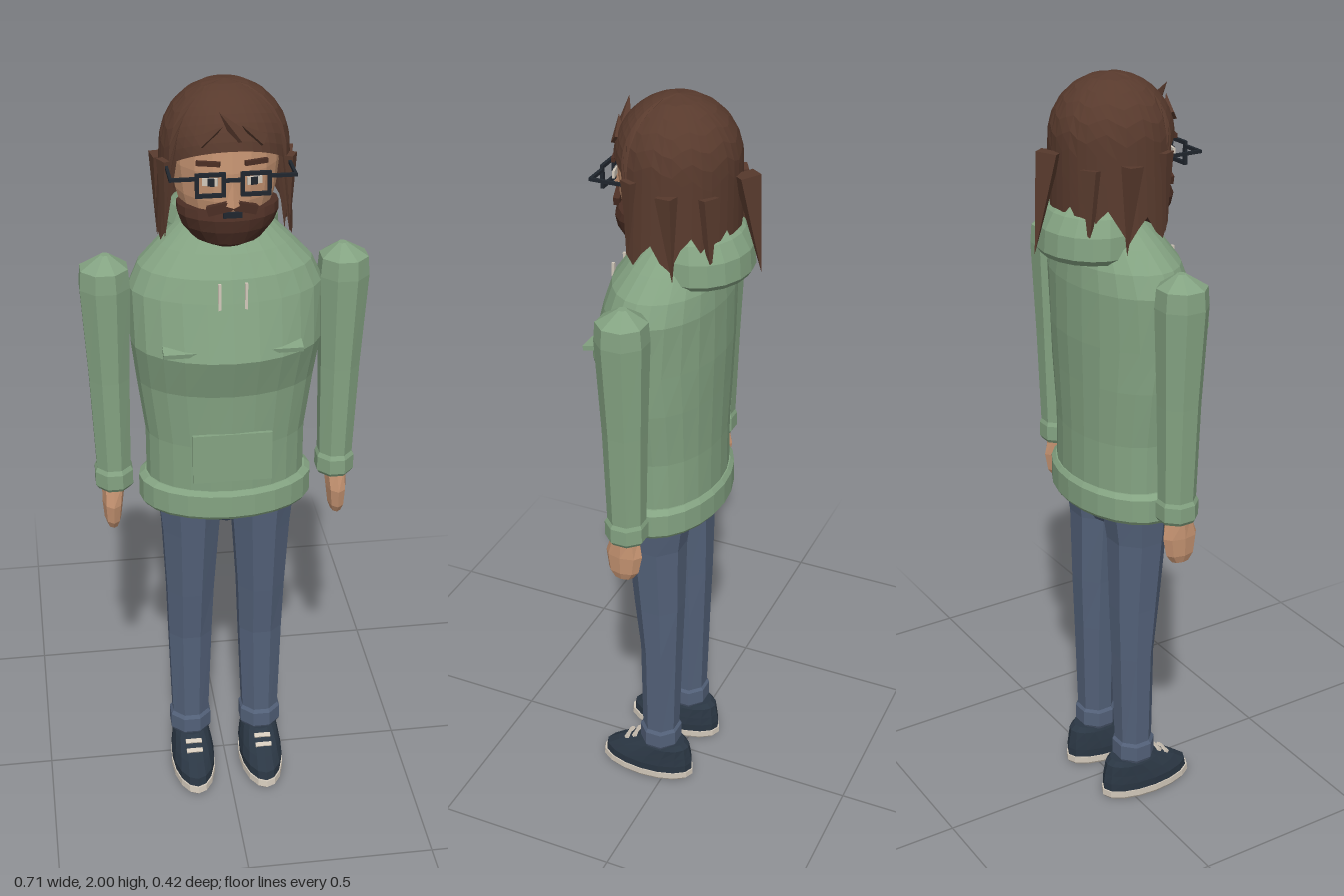
import * as THREE from 'three';

const mat = (name, color, side = THREE.FrontSide) => {
  const m = new THREE.MeshStandardMaterial({ color, side });
  m.name = name;
  return m;
};

export function createModel() {
  const root = new THREE.Group();
  root.name = 'standingFigure';
  const green = mat('hoodieGreen', 0x84a382);
  const denim = mat('denimBlue', 0x536179);
  const brown = mat('hairBrown', 0x583a2d, THREE.DoubleSide);
  const beardBrown = mat('beardBrown', 0x4b2e24);
  const skin = mat('skin', 0xc69472);
  const navy = mat('shoeNavy', 0x2b3744);
  const cream = mat('soleCream', 0xd2c8ba);
  const black = mat('frameBlack', 0x20262e);

  const add = (name, geo, material, parent = root) => {
    const g = geo.index ? geo.toNonIndexed() : geo;
    g.computeVertexNormals(); // faceted look
    const m = new THREE.Mesh(g, material);
    m.name = name;
    parent.add(m);
    return m;
  };
  const box = (name, w, h, d, x, y, z, material, parent) => {
    const m = add(name, new THREE.BoxGeometry(w, h, d), material, parent);
    m.position.set(x, y, z);
    return m;
  };

  // Stack of horizontal oval sections [y, centreX, radiusX, zFront, zBack], bottom to top, capped
  const loft = (sections, n, phase = 0) => {
    const pos = [], idx = [], rows = sections.length;
    for (const [y, cx, rx, zf, zb] of sections)
      for (let i = 0; i < n; i++) {
        const t = ((i + phase) / n) * Math.PI * 2;
        pos.push(cx + rx * Math.sin(t), y, (zf + zb) / 2 + ((zf - zb) / 2) * Math.cos(t));
      }
    for (let r = 0; r < rows - 1; r++)
      for (let i = 0; i < n; i++) {
        const a = r * n + i, b = r * n + ((i + 1) % n);
        idx.push(a, b, b + n, a, b + n, a + n);
      }
    for (const r of [0, rows - 1]) {
      const [y, cx, , zf, zb] = sections[r];
      const c = pos.length / 3;
      pos.push(cx, y, (zf + zb) / 2);
      for (let i = 0; i < n; i++) {
        const a = r * n + i, b = r * n + ((i + 1) % n);
        if (r) idx.push(c, a, b); else idx.push(c, b, a);
      }
    }
    const g = new THREE.BufferGeometry();
    g.setAttribute('position', new THREE.Float32BufferAttribute(pos, 3));
    g.setIndex(idx);
    return g;
  };

  // Hoodie body, hem and hood
  add('hoodieBody', loft([
    [0.95, 0, 0.205, 0.16, -0.11], [1.1, 0, 0.205, 0.165, -0.11], [1.25, 0, 0.225, 0.175, -0.115],
    [1.36, 0, 0.238, 0.212, -0.12], [1.5, 0, 0.24, 0.172, -0.12], [1.555, 0, 0.215, 0.155, -0.115],
    [1.605, 0, 0.165, 0.12, -0.1], [1.66, 0, 0.105, 0.075, -0.08]], 24), green);
  add('hoodieHem', loft([
    [0.89, 0, 0.218, 0.165, -0.115], [0.9, 0, 0.225, 0.172, -0.122],
    [0.96, 0, 0.225, 0.172, -0.122], [0.972, 0, 0.21, 0.163, -0.113]], 24), green);
  add('hood', loft([
    [1.57, 0, 0.13, 0.05, -0.172], [1.585, 0, 0.145, 0.06, -0.182], [1.64, 0, 0.142, 0.06, -0.178],
    [1.68, 0, 0.125, 0.05, -0.155], [1.705, 0, 0.1, 0.04, -0.125]], 18), green);
  box('frontPocket', 0.2, 0.135, 0.009, 0, 1.075, 0.167, green);
  const chestFlap = box('chestFlap', 0.34, 0.012, 0.05, 0, 1.383, 0.166, green);
  chestFlap.rotation.x = 0.2;
  for (const s of [-1, 1]) box('drawstring', 0.007, 0.075, 0.007, s * 0.032, 1.515, 0.17, cream);

  // Trouser seat
  add('trouserSeat', loft([
    [0.825, 0, 0.05, 0.07, -0.04], [0.86, 0, 0.165, 0.11, -0.062], [0.91, 0, 0.185, 0.13, -0.08]], 12), denim);

  for (const s of [-1, 1]) {
    const side = s > 0 ? 'left' : 'right';
    const limb = new THREE.Group();
    limb.name = side + 'Limbs';
    root.add(limb);
    const part = (name, sections, n, material, phase = 0) =>
      add(side + name, loft(sections.map(([y, cx, ...r]) => [y, s * cx, ...r]), n, phase), material, limb);

    // Sleeve, cuff and hand
    part('Sleeve', [
      [0.98, 0.29, 0.046, 0.07, -0.028], [1.25, 0.293, 0.054, 0.076, -0.036],
      [1.5, 0.296, 0.066, 0.088, -0.046], [1.548, 0.296, 0.062, 0.084, -0.042],
      [1.58, 0.292, 0.012, 0.032, 0.008]], 8, green, 0.5);
    part('Cuff', [
      [0.935, 0.29, 0.045, 0.07, -0.026], [0.945, 0.29, 0.052, 0.077, -0.033],
      [0.985, 0.29, 0.052, 0.077, -0.033], [0.997, 0.29, 0.046, 0.07, -0.028]], 8, green, 0.5);
    part('Hand', [
      [0.818, 0.297, 0.014, 0.055, 0.005], [0.84, 0.297, 0.022, 0.07, -0.012],
      [0.89, 0.296, 0.027, 0.077, -0.022], [0.945, 0.292, 0.03, 0.06, -0.012]], 8, skin);

    // Trouser leg and turn-up
    part('Leg', [
      [0.13, 0.099, 0.052, 0.07, -0.03], [0.45, 0.097, 0.063, 0.073, -0.04],
      [0.6, 0.096, 0.068, 0.09, -0.046], [0.8, 0.094, 0.08, 0.108, -0.05],
      [0.9, 0.094, 0.09, 0.118, -0.065]], 8, denim, 0.5);
    part('TurnUp', [
      [0.115, 0.099, 0.055, 0.072, -0.032], [0.125, 0.099, 0.06, 0.078, -0.038],
      [0.168, 0.099, 0.06, 0.078, -0.038], [0.178, 0.099, 0.053, 0.07, -0.03]], 8, denim, 0.5);

    // Shoe, sole and laces
    part('Sole', [
      [0, 0.097, 0.056, 0.195, -0.07], [0.008, 0.097, 0.061, 0.203, -0.077],
      [0.026, 0.097, 0.061, 0.2, -0.077]], 16, cream);
    part('Shoe', [
      [0.024, 0.097, 0.058, 0.195, -0.073], [0.05, 0.097, 0.06, 0.19, -0.074],
      [0.075, 0.097, 0.056, 0.155, -0.07], [0.105, 0.098, 0.05, 0.1, -0.064],
      [0.118, 0.098, 0.044, 0.08, -0.05]], 16, navy);
    for (const [y, z] of [[0.108, 0.096], [0.094, 0.12]]) {
      const lace = box(side + 'Lace', 0.045, 0.008, 0.012, s * 0.098, y, z, cream, limb);
      lace.rotation.x = 0.5;
    }
  }

  // Head and beard
  const head = new THREE.Group();
  head.name = 'head';
  root.add(head);
  add('neck', loft([[1.55, 0, 0.06, 0.05, -0.06], [1.68, 0, 0.06, 0.05, -0.06]], 10), skin, head);
  add('face', loft([
    [1.64, 0, 0.07, 0.11, -0.07], [1.69, 0, 0.105, 0.138, -0.1], [1.75, 0, 0.122, 0.152, -0.12],
    [1.82, 0, 0.13, 0.156, -0.13], [1.89, 0, 0.13, 0.15, -0.125], [1.95, 0, 0.09, 0.1, -0.09]], 18), skin, head);
  add('beard', loft([
    [1.622, 0, 0.055, 0.11, -0.02], [1.64, 0, 0.085, 0.142, -0.03], [1.675, 0, 0.112, 0.157, -0.03],
    [1.705, 0, 0.122, 0.16, -0.02], [1.725, 0, 0.122, 0.15, -0.02]], 18), beardBrown, head);
  box('mouth', 0.045, 0.014, 0.006, 0, 1.722, 0.16, black, head);
  const nose = add('nose', new THREE.ConeGeometry(0.018, 0.06, 4), skin, head);
  nose.position.set(0, 1.775, 0.162);
  for (const s of [-1, 1]) {
    const tash = box('moustache', 0.058, 0.022, 0.016, s * 0.03, 1.737, 0.152, beardBrown, head);
    tash.rotation.set(0, s * 0.25, -s * 0.3);
    box('eyeWhite', 0.036, 0.018, 0.006, s * 0.052, 1.802, 0.15, cream, head).rotation.y = s * 0.25;
    box('pupil', 0.016, 0.018, 0.006, s * 0.05, 1.802, 0.154, black, head).rotation.y = s * 0.25;
    box('eyebrow', 0.056, 0.011, 0.009, s * 0.056, 1.845, 0.147, beardBrown, head).rotation.y = s * 0.28;
  }

  // Glasses
  const glasses = new THREE.Group();
  glasses.name = 'glasses';
  head.add(glasses);
  box('bridge', 0.05, 0.008, 0.008, 0, 1.81, 0.167, black, glasses);
  for (const s of [-1, 1]) {
    for (const y of [1.775, 1.825]) box('rimBar', 0.066, 0.009, 0.008, s * 0.053, y, 0.167, black, glasses);
    for (const x of [0.022, 0.084]) box('rimPost', 0.009, 0.058, 0.008, s * x, 1.8, 0.167, black, glasses);
    box('hinge', 0.062, 0.008, 0.008, s * 0.115, 1.817, 0.167, black, glasses);
    box('templeArm', 0.007, 0.008, 0.12, s * 0.145, 1.817, 0.111, black, glasses);
  }

  // Hair: dome that falls into a jagged curtain round the sides and back
  const N = 40, R = 9, pos = [], idx = [];
  for (let r = 0; r <= R; r++)
    for (let i = 0; i <= N; i++) {
      const t = (i / N) * Math.PI * 2;
      const a = Math.min(t, Math.PI * 2 - t);
      const jag = [0, 0.035, 0.06, 0.02][i % 4];
      const low = a < 0.95 ? 1.875 - 0.04 * (a / 0.95) ** 2 : (a < 2 ? 1.625 : 1.645) + jag;
      const y = 2 - (2 - low) * Math.pow(r / R, 1.6);
      const k = y > 1.85 ? Math.sqrt(Math.max(0, 1 - ((y - 1.85) / 0.15) ** 2)) : 1;
      const flare = y < 1.85 ? (1.85 - y) * 0.06 : 0;
      pos.push((0.154 * k + flare) * Math.sin(t), y, 0.008 + (0.153 * k) * Math.cos(t));
    }
  for (let r = 0; r < R; r++)
    for (let i = 0; i < N; i++) {
      const a = r * (N + 1) + i, b = a + N + 1;
      idx.push(a, b, b + 1, a, b + 1, a + 1);
    }
  const hairGeo = new THREE.BufferGeometry();
  hairGeo.setAttribute('position', new THREE.Float32BufferAttribute(pos, 3));
  hairGeo.setIndex(idx);
  add('hair', hairGeo, brown, head);

  // Tapered locks running from a root point to a tip
  const lock = (name, from, to, width) => {
    const a = new THREE.Vector3(...from), d = new THREE.Vector3(...to).sub(a);
    const m = add(name, new THREE.ConeGeometry(width, d.length(), 4), brown, head);
    m.position.copy(a).addScaledVector(d, 0.5);
    m.quaternion.setFromUnitVectors(new THREE.Vector3(0, 1, 0), d.normalize());
  };
  lock('backLock', [0, 1.83, -0.165], [0, 1.585, -0.208], 0.036);
  for (const s of [-1, 1]) {
    lock('sideLock', [s * 0.143, 1.83, 0.065], [s * 0.15, 1.635, 0.07], 0.025);
    lock('sideLock', [s * 0.15, 1.81, -0.03], [s * 0.158, 1.595, -0.045], 0.03);
    lock('rearLock', [s * 0.1, 1.8, -0.105], [s * 0.115, 1.61, -0.125], 0.03);
    lock('fringeTuft', [s * 0.07, 1.89, 0.13], [s * 0.02, 1.935, 0.152], 0.02);
  }
  lock('fringeTuft', [0.02, 1.9, 0.14], [-0.03, 1.965, 0.148], 0.022);
  return root;
}
